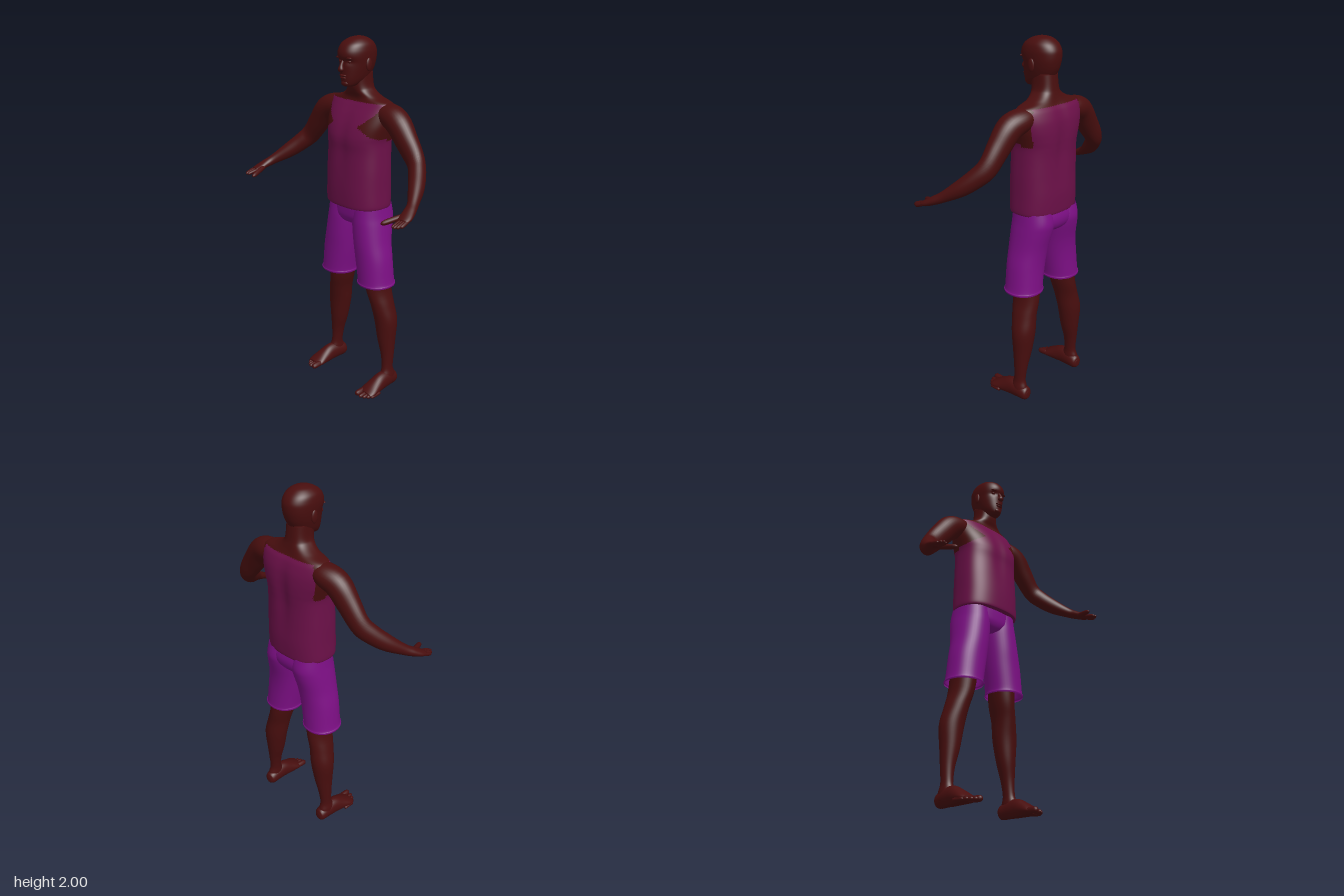
import * as THREE from 'three';

const mat = (name, color, side = THREE.FrontSide) => {
  const m = new THREE.MeshStandardMaterial({ color, side });
  m.name = name;
  return m;
};

// Catmull-Rom resampling of rows of numbers
function resample(rows, sub) {
  const out = [], last = rows.length - 1;
  for (let i = 0; i < last; i++) {
    const [a, b, c, d] = [rows[Math.max(i - 1, 0)], rows[i], rows[i + 1], rows[Math.min(i + 2, last)]];
    for (let s = 0; s < sub; s++) {
      const t = s / sub;
      out.push(b.map((_, k) => b[k] + 0.5 * t * (c[k] - a[k] +
        t * (2 * a[k] - 5 * b[k] + 4 * c[k] - d[k] + t * (3 * (b[k] - c[k]) + d[k] - a[k])))));
    }
  }
  out.push(rows[last].slice());
  return out;
}

// Skins a list of closed rings, optionally with end caps
function skinRings(rings, caps = true) {
  const n = rings[0].length, pos = [], idx = [];
  rings.forEach(r => r.forEach(p => pos.push(p.x, p.y, p.z)));
  for (let i = 0; i < rings.length - 1; i++) for (let j = 0; j < n; j++) {
    const a = i * n + j, b = i * n + (j + 1) % n;
    idx.push(a, a + n, b, b, a + n, b + n);
  }
  if (caps) [0, rings.length - 1].forEach((r, end) => {
    const c = rings[r].reduce((s, p) => s.add(p), new THREE.Vector3()).divideScalar(n);
    const ci = pos.length / 3;
    pos.push(c.x, c.y, c.z);
    for (let j = 0; j < n; j++) {
      const a = r * n + j, b = r * n + (j + 1) % n;
      idx.push(ci, end ? b : a, end ? a : b);
    }
  });
  const g = new THREE.BufferGeometry();
  g.setAttribute('position', new THREE.Float32BufferAttribute(pos, 3));
  g.setIndex(idx);
  g.computeVertexNormals();
  return g;
}

// Horizontal rings, rows upward: [y, centre x, half width, front z, back z]
function stack(rows, { seg = 40, sub = 5, pow = 2, caps = true, shape } = {}) {
  const q = v => Math.sign(v) * Math.abs(v) ** (2 / pow);
  return skinRings(resample(rows, sub).map(([y, cx, hw, zf, zb]) =>
    Array.from({ length: seg }, (_, j) => {
      const a = j / seg * Math.PI * 2;
      const p = new THREE.Vector3(cx + hw * q(Math.cos(a)), y, (zf + zb) / 2 + (zf - zb) / 2 * q(Math.sin(a)));
      if (shape) shape(p);
      return p;
    })), caps);
}

// Limb along a path: [x, y, z, sideways radius, upward radius]
function limb(rows, { seg = 24, sub = 5, floor = -1 } = {}) {
  const rs = resample(rows, sub), up = new THREE.Vector3(0, 1, 0);
  const pts = rs.map(r => new THREE.Vector3(r[0], r[1], r[2]));
  return skinRings(rs.map((r, i) => {
    const t = pts[Math.min(i + 1, pts.length - 1)].clone().sub(pts[Math.max(i - 1, 0)]).normalize();
    const side = t.clone().cross(up).normalize(), lift = side.clone().cross(t);
    return Array.from({ length: seg }, (_, j) => {
      const a = j / seg * Math.PI * 2;
      const p = pts[i].clone().addScaledVector(side, Math.cos(a) * r[3]).addScaledVector(lift, Math.sin(a) * r[4]);
      p.y = Math.max(p.y, floor);
      return p;
    });
  }));
}

// Rounded finger or toe from a to b
function digit(a, b, r) {
  const at = (t, k) => [...a.map((v, i) => v + (b[i] - v) * t), r * k, r * k];
  return limb([at(0, 0.9), at(0.4, 1), at(0.8, 0.95), at(0.95, 0.6), at(1, 0.1)], { seg: 12, sub: 2, floor: 0 });
}

function ball(x, y, z, sx, sy, sz) {
  return new THREE.SphereGeometry(1, 20, 14).scale(sx, sy, sz).translate(x, y, z);
}

function mirrorX(g) {
  const m = g.clone().scale(-1, 1, 1), ix = m.index.array;
  for (let i = 0; i < ix.length; i += 3) [ix[i], ix[i + 1]] = [ix[i + 1], ix[i]];
  m.computeVertexNormals();
  return m;
}

export function createModel() {
  const model = new THREE.Group();
  const skin = mat('darkSkin', 0x480e0e);
  const shirt = mat('plumShirt', 0x6b1048);
  const shorts = mat('purpleShorts', 0x7d0f85, THREE.DoubleSide);
  const add = (name, g, m) => {
    const mesh = new THREE.Mesh(g, m);
    mesh.name = name;
    model.add(mesh);
  };
  const pair = (name, g, m) => {
    add(name + 'Left', g, m);
    add(name + 'Right', mirrorX(g), m);
  };

  // Torso and neck in one surface
  const torso = stack([
    [1.1, 0, 0.19, 0.03, -0.237], [1.12, 0, 0.193, 0.033, -0.24], [1.2, 0, 0.191, 0.034, -0.243],
    [1.3, 0, 0.19, 0.03, -0.24], [1.4, 0, 0.187, 0.025, -0.239], [1.46, 0, 0.187, 0.027, -0.242],
    [1.5, 0, 0.195, 0.022, -0.244], [1.55, 0, 0.207, 0.006, -0.243], [1.6, 0, 0.213, -0.018, -0.236],
    [1.645, 0, 0.212, -0.045, -0.22], [1.67, 0, 0.2, -0.06, -0.203], [1.692, 0, 0.13, -0.062, -0.194],
    [1.72, 0, 0.08, -0.052, -0.186], [1.75, 0, 0.063, -0.045, -0.18], [1.82, 0, 0.06, -0.04, -0.172],
  ], {
    seg: 96, sub: 6, pow: 2.5,
    shape: p => { // spine groove and chest line
      const k = Math.exp(-((p.x / 0.04) ** 2)) * Math.exp(-(((p.y - 1.48) / 0.16) ** 2));
      p.z += p.z < -0.1 ? 0.014 * k : -0.007 * k;
    },
  });
  // Armholes and neckline: faces outside the shirt outline are skin
  const outline = [[1.46, 0.25], [1.48, 0.2], [1.53, 0.125], [1.55, 0.09], [1.575, 0.125], [1.6, 0.155], [1.675, 0.215]];
  const frontEdge = y => {
    for (let i = 1; i < outline.length; i++) {
      const [y0, x0] = outline[i - 1], [y1, x1] = outline[i];
      if (y >= y0 && y <= y1) return x0 + (x1 - x0) * (y - y0) / (y1 - y0);
    }
    return 1;
  };
  const P = torso.attributes.position, ix = torso.index.array, cloth = [], bare = [];
  for (let i = 0; i < ix.length; i += 3) {
    const tri = [ix[i], ix[i + 1], ix[i + 2]];
    const mean = f => tri.reduce((s, v) => s + f(v), 0) / 3;
    const x = Math.abs(mean(v => P.getX(v))), y = mean(v => P.getY(v)), z = mean(v => P.getZ(v));
    const isBare = y > 1.668 || (z > -0.12 ? x > frontEdge(y) : y > 1.47 && z > -0.19 && x > 0.17);
    (isBare ? bare : cloth).push(...tri);
  }
  torso.setIndex([...cloth, ...bare]);
  torso.addGroup(0, cloth.length, 0);
  torso.addGroup(cloth.length, bare.length, 1);
  add('torsoWithTankTop', torso, [shirt, skin]);

  // Head and face
  add('head', stack([
    [1.748, 0, 0.02, -0.005, -0.06], [1.757, 0, 0.037, 0.006, -0.09], [1.785, 0, 0.056, 0.012, -0.15],
    [1.83, 0, 0.07, 0.014, -0.182], [1.87, 0, 0.078, 0.015, -0.196], [1.905, 0, 0.082, 0.026, -0.201],
    [1.935, 0, 0.081, 0.022, -0.198], [1.965, 0, 0.072, 0.002, -0.18], [1.988, 0, 0.048, -0.035, -0.15],
    [1.998, 0, 0.02, -0.07, -0.12], [2, 0, 0.004, -0.09, -0.1],
  ], {
    pow: 2.15, seg: 64, sub: 6,
    shape: p => { // eye sockets
      const d = ((Math.abs(p.x) - 0.034) / 0.018) ** 2 + ((p.y - 1.878) / 0.014) ** 2;
      if (p.z > -0.05) p.z -= 0.01 * Math.exp(-d);
    },
  }), skin);
  add('nose', limb([[0, 1.89, 0.008, 0.008, 0.008], [0, 1.86, 0.022, 0.01, 0.012],
    [0, 1.838, 0.028, 0.017, 0.015], [0, 1.826, 0.03, 0.008, 0.006]]), skin);
  add('upperLip', ball(0, 1.807, 0.014, 0.024, 0.006, 0.011), skin);
  add('lowerLip', ball(0, 1.795, 0.013, 0.021, 0.007, 0.01), skin);
  add('chin', ball(0, 1.766, 0.0, 0.024, 0.015, 0.014), skin);
  pair('eye', ball(0.033, 1.878, -0.002, 0.012, 0.007, 0.01), skin);
  pair('brow', ball(0.034, 1.897, 0.013, 0.022, 0.006, 0.009).rotateY(0.12), skin);
  pair('ear', ball(0.083, 1.862, -0.092, 0.009, 0.034, 0.02), skin);

  // Arms, flattening into the palms
  pair('arm', limb([
    [0.1, 1.635, -0.135, 0.04, 0.035], [0.19, 1.615, -0.133, 0.068, 0.06], [0.27, 1.582, -0.122, 0.067, 0.068],
    [0.34, 1.5, -0.117, 0.056, 0.064], [0.41, 1.412, -0.11, 0.047, 0.055], [0.455, 1.362, -0.075, 0.045, 0.05],
    [0.505, 1.308, -0.015, 0.041, 0.043], [0.555, 1.258, 0.06, 0.029, 0.028], [0.575, 1.235, 0.105, 0.032, 0.023],
    [0.587, 1.217, 0.145, 0.035, 0.018], [0.594, 1.207, 0.175, 0.028, 0.012],
  ], { seg: 32 }), skin);
  [[0.576, 0.583, 0.232], [0.59, 0.597, 0.236], [0.602, 0.608, 0.225], [0.612, 0.616, 0.207]].forEach(([x0, x1, z], i) =>
    pair('finger' + (i + 1), digit([x0, 1.212, 0.15], [x1, 1.192, z], 0.01), skin));
  pair('thumb', digit([0.565, 1.222, 0.125], [0.519, 1.194, 0.242], 0.014), skin);

  // Shorts
  add('shortsSeat', stack([
    [0.985, 0, 0.05, -0.05, -0.18], [1.0, 0, 0.11, -0.02, -0.215], [1.03, 0, 0.18, -0.004, -0.235],
    [1.07, 0, 0.187, 0.0, -0.24], [1.12, 0, 0.182, 0.0, -0.228],
  ], { pow: 2.4, seg: 56 }), shorts);
  pair('shortsLeg', stack([
    [0.65, 0.15, 0.104, 0.0, -0.206], [0.66, 0.15, 0.106, 0.003, -0.207], [0.675, 0.148, 0.1, -0.001, -0.203],
    [0.8, 0.131, 0.103, 0.001, -0.202], [0.9, 0.114, 0.1, 0.004, -0.212], [1.0, 0.1, 0.099, 0.003, -0.236],
    [1.05, 0.096, 0.095, 0.0, -0.243], [1.11, 0.092, 0.092, -0.005, -0.232],
  ], { caps: false, pow: 2.15 }), shorts);

  // Lower legs
  pair('leg', stack([
    [0.03, 0.225, 0.034, -0.09, -0.19], [0.075, 0.223, 0.033, -0.085, -0.185], [0.12, 0.22, 0.029, -0.1, -0.172],
    [0.2, 0.215, 0.036, -0.1, -0.18], [0.3, 0.203, 0.052, -0.088, -0.195], [0.42, 0.194, 0.066, -0.076, -0.208],
    [0.52, 0.175, 0.062, -0.058, -0.203], [0.62, 0.15, 0.062, -0.04, -0.203], [0.78, 0.135, 0.075, -0.03, -0.19],
  ]), skin);

  // Feet with toes
  pair('foot', limb([
    [0.218, 0.035, -0.2, 0.015, 0.018], [0.219, 0.036, -0.185, 0.034, 0.038], [0.222, 0.045, -0.13, 0.039, 0.05],
    [0.224, 0.045, -0.08, 0.041, 0.053], [0.226, 0.034, -0.03, 0.047, 0.042], [0.228, 0.022, 0.02, 0.053, 0.026],
    [0.228, 0.016, 0.05, 0.046, 0.014],
  ], { seg: 32, floor: 0.002 }), skin);
  [[0.194, 0.092, 0.017], [0.222, 0.091, 0.012], [0.242, 0.081, 0.011], [0.259, 0.066, 0.011], [0.273, 0.047, 0.01]]
    .forEach(([x, z, r], i) => pair('toe' + (i + 1), digit([x, r + 0.004, z - 0.07], [x, r, z], r), skin));

  return model;
}
